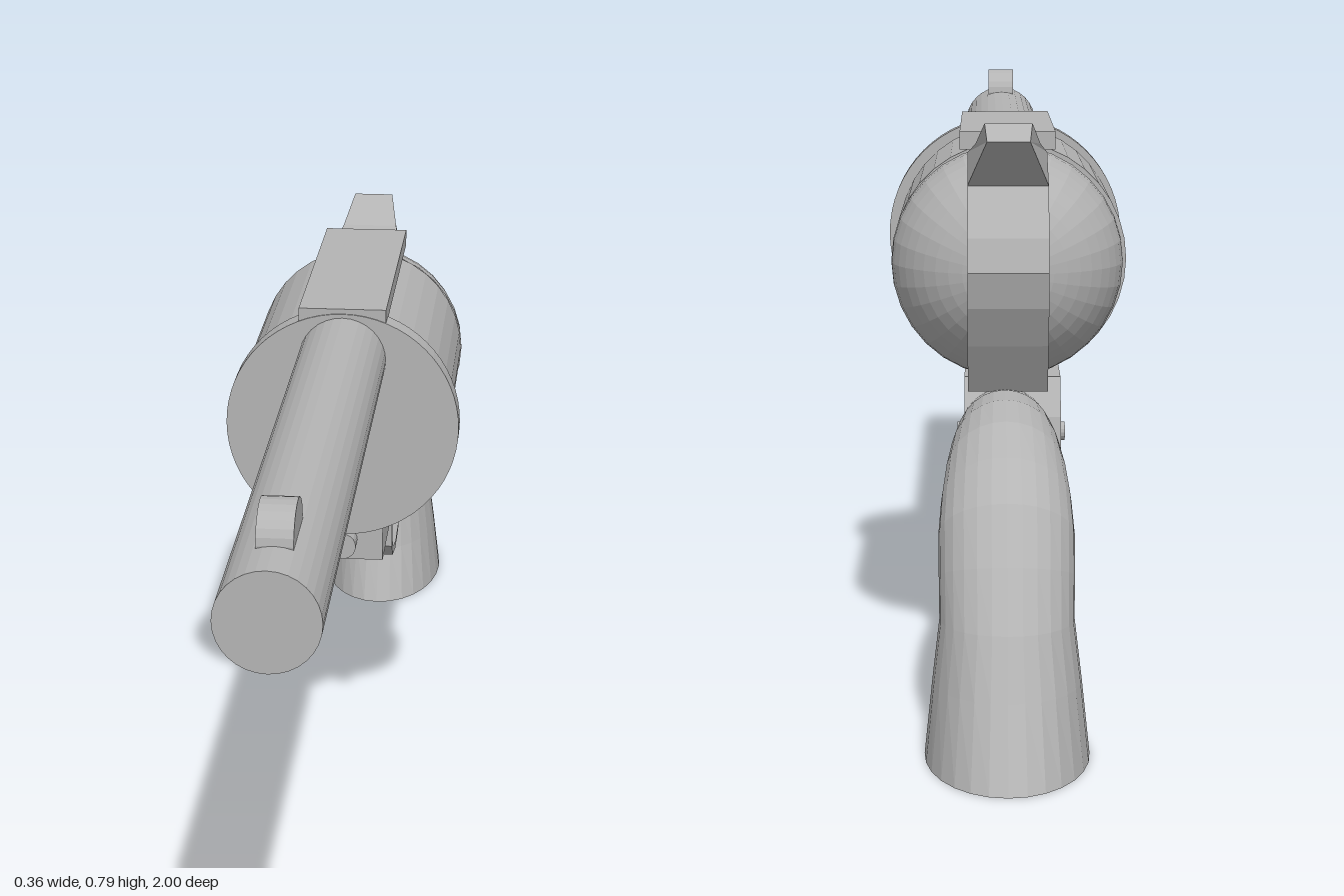
import * as THREE from 'three';

const steel = new THREE.MeshStandardMaterial({ color: 0xb4b4b4, flatShading: true });
steel.name = 'grey steel';

export function createModel() {
  const model = new THREE.Group();
  model.name = 'revolver';

  const add = (name, geometry, x = 0, y = 0, z = 0) => {
    const mesh = new THREE.Mesh(geometry, steel);
    mesh.name = name;
    mesh.position.set(x, y, z);
    model.add(mesh);
    return mesh;
  };

  // Round bar along z between two depths
  const bar = (name, r, zFront, zBack, y, x = 0, sides = 32) =>
    add(name, new THREE.CylinderGeometry(r, r, zFront - zBack, sides).rotateX(Math.PI / 2), x, y, (zFront + zBack) / 2);

  // Side profile of [z, y] points, extruded across x
  const plate = (points, width, hole) => {
    const toVec = (p) => new THREE.Vector2(p[0], p[1]);
    const shape = new THREE.Shape(points.map(toVec));
    if (hole) shape.holes.push(new THREE.Path(hole.map(toVec)));
    return new THREE.ExtrudeGeometry(shape, { depth: width, bevelEnabled: false })
      .rotateY(-Math.PI / 2).translate(width / 2, 0, 0);
  };

  // Barrel group
  bar('barrel', 0.066, 1, 0, 0.685);
  bar('ejectorRod', 0.035, 0.785, 0, 0.585, 0, 24);
  const sight = add('frontSight', new THREE.CylinderGeometry(0.052, 0.052, 0.046, 24).rotateZ(Math.PI / 2), 0.001, 0.75, 0.873);
  sight.scale.y = 0.78;

  // Drum between front plate and rounded recoil shield
  bar('frontPlate', 0.178, 0.022, -0.015, 0.579, 0, 64);
  bar('drumAxle', 0.055, 0, -0.4, 0.605, 0, 24);
  bar('drum', 0.165, -0.03, -0.37, 0.581, -0.003, 36);
  add('recoilShield', new THREE.SphereGeometry(0.163, 32, 12, 0, Math.PI * 2, 0, Math.PI / 2).rotateX(-Math.PI / 2), 0, 0.579, -0.38);
  add('recoilShieldFace', new THREE.CircleGeometry(0.163, 32), 0, 0.579, -0.38);
  add('topStrap', new THREE.BoxGeometry(0.132, 0.025, 0.45), 0, 0.752, -0.205);

  // Back strap rising into the hammer, whose spur narrows to the tip
  const hammer = plate([
    [-0.42, 0.735], [-0.5, 0.752], [-0.58, 0.785], [-0.6, 0.762], [-0.518, 0.697], [-0.56, 0.63],
    [-0.573, 0.585], [-0.56, 0.535], [-0.53, 0.48], [-0.485, 0.41], [-0.42, 0.41],
  ], 0.11);
  const pos = hammer.attributes.position;
  for (let i = 0; i < pos.count; i++) {
    if (pos.getY(i) > 0.7) {
      const t = THREE.MathUtils.clamp((-0.43 - pos.getZ(i)) / 0.17, 0, 1);
      pos.setX(i, pos.getX(i) * (1 - 0.48 * t));
    }
  }
  hammer.computeVertexNormals();
  add('hammer', hammer);

  // Lower frame with its sloping heel and screws
  add('lowerFrame', plate([
    [-0.02, 0.342], [-0.02, 0.422], [-0.43, 0.422], [-0.46, 0.37], [-0.475, 0.285], [-0.415, 0.275], [-0.41, 0.342],
  ], 0.134), -0.007);
  bar('frameScrew', 0.021, 0.01, -0.03, 0.375, -0.001, 20);
  add('sidePin', new THREE.CylinderGeometry(0.013, 0.013, 0.15, 16).rotateZ(Math.PI / 2), -0.005, 0.345, -0.43);

  // Trigger guard and trigger
  add('triggerGuard', plate(
    [[-0.215, 0.345], [-0.215, 0.285], [-0.235, 0.262], [-0.3, 0.248], [-0.365, 0.256], [-0.415, 0.28], [-0.415, 0.345]],
    0.126,
    [[-0.23, 0.338], [-0.23, 0.29], [-0.245, 0.274], [-0.3, 0.261], [-0.36, 0.268], [-0.39, 0.29], [-0.395, 0.338]],
  ), -0.002);
  add('trigger', plate(
    [[-0.285, 0.345], [-0.3, 0.31], [-0.287, 0.278], [-0.298, 0.276], [-0.313, 0.31], [-0.308, 0.345]], 0.03));

  // Grip: oval rings, each [top z, top y, bottom z, bottom y, half width]
  const rings = [
    [-0.42, 0.405, -0.41, 0.266, 0.064], [-0.5, 0.415, -0.49, 0.264, 0.068], [-0.58, 0.415, -0.56, 0.26, 0.074],
    [-0.66, 0.4, -0.615, 0.248, 0.08], [-0.735, 0.367, -0.655, 0.233, 0.085], [-0.8, 0.32, -0.682, 0.212, 0.088],
    [-0.855, 0.25, -0.695, 0.192, 0.087], [-0.905, 0.175, -0.698, 0.168, 0.086], [-0.945, 0.1, -0.675, 0.09, 0.095],
    [-1, 0, -0.635, 0, 0.105],
  ];
  const sides = 28, verts = [], index = [];
  for (const [tz, ty, bz, by, w] of rings) {
    for (let j = 0; j < sides; j++) {
      const a = (j / sides) * Math.PI * 2, c = Math.cos(a) / 2;
      verts.push(0.004 + w * Math.sin(a), (ty + by) / 2 + (ty - by) * c, (tz + bz) / 2 + (tz - bz) * c);
    }
  }
  const last = (rings.length - 1) * sides;
  for (let j = 0; j < sides; j++) {
    const k = (j + 1) % sides;
    for (let s = 0; s < last; s += sides) {
      index.push(s + j, s + k, s + sides + j, s + k, s + sides + k, s + sides + j);
    }
    if (j > 0 && j < sides - 1) index.push(0, k, j, last, last + j, last + k);
  }
  const grip = new THREE.BufferGeometry();
  grip.setAttribute('position', new THREE.Float32BufferAttribute(verts, 3));
  grip.setIndex(index);
  grip.computeVertexNormals();
  add('grip', grip);

  return model;
}
